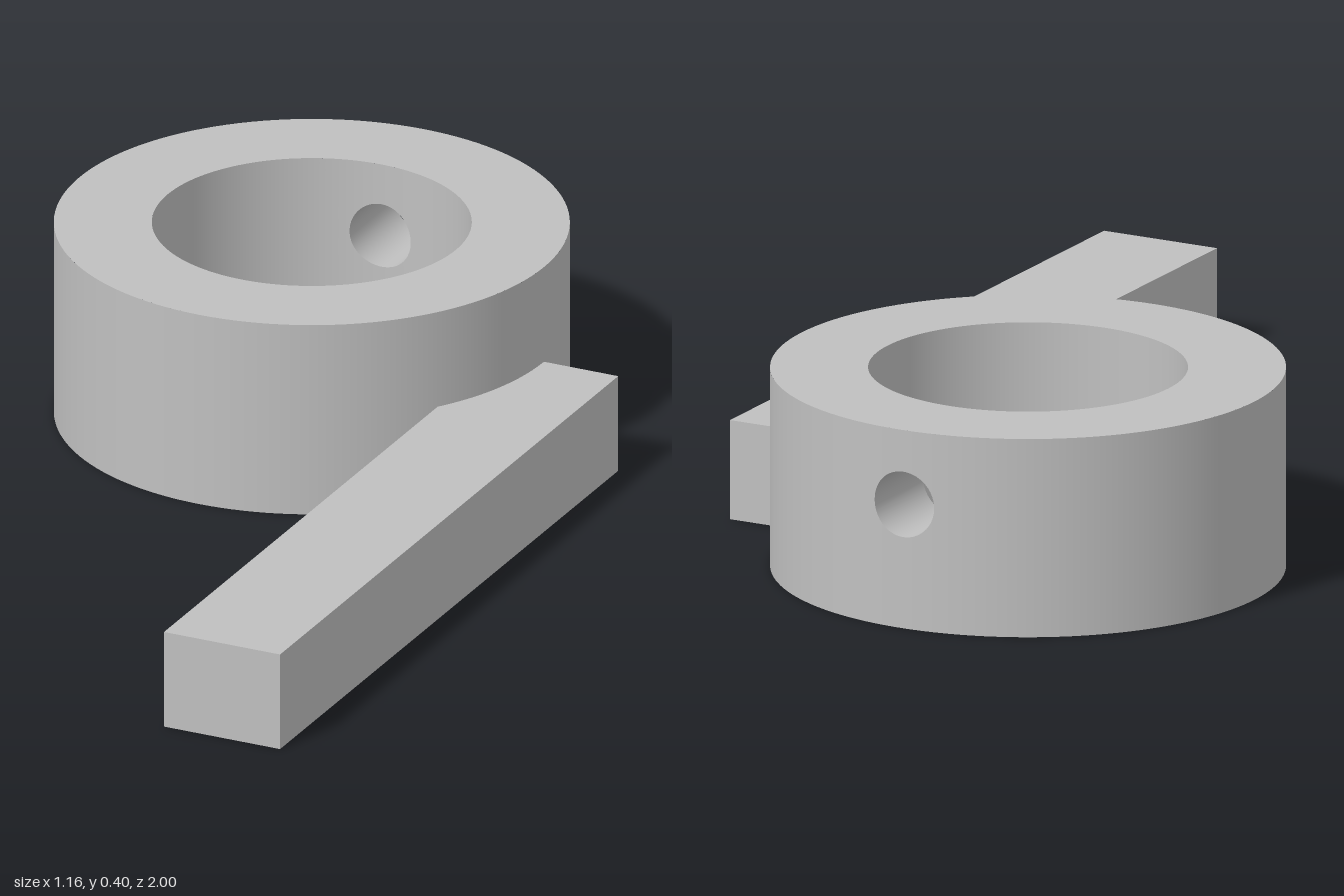
import * as THREE from 'three';
import { ParametricGeometry } from 'three/addons/geometries/ParametricGeometry.js';

const R = 0.5, BORE = 0.31, H = 0.4;             // ring
const HOLE_R = 0.066, HOLE_Y = 0.25, W = 0.14;   // cross hole and its half-width wall patch

export function createModel() {
  const grey = new THREE.MeshStandardMaterial({ color: 0xc0c0c0 });
  grey.name = 'plain grey';
  const model = new THREE.Group();
  model.name = 'ringWithArm';

  const add = (name, geometry, parent) => {
    const mesh = new THREE.Mesh(geometry, grey);
    mesh.name = name;
    parent.add(mesh);
    return mesh;
  };

  // Ring, centred on its own axis, with a cross hole through the back wall
  const ring = new THREE.Group();
  ring.name = 'ring';
  ring.position.set(-0.08, 0, -0.5);
  model.add(ring);

  const lathe = (points, gap = 0) => new THREE.LatheGeometry(
    points.map(([x, y]) => new THREE.Vector2(x, y)), 128, Math.PI + gap, 2 * Math.PI - 2 * gap);
  add('ringTop', lathe([[R, H], [BORE, H]]), ring);
  add('ringBottom', lathe([[BORE, 0], [R, 0]]), ring);
  add('outerWall', lathe([[R, 0], [R, H]], Math.asin(W / R)), ring);
  add('boreWall', lathe([[BORE, H], [BORE, 0]], Math.asin(W / BORE)), ring);

  // Border of the wall patch around the hole, relative to the hole centre
  const corners = [[W, -HOLE_Y], [W, H - HOLE_Y], [-W, H - HOLE_Y], [-W, -HOLE_Y]];
  const border = (u) => {
    const k = Math.min(Math.floor(u * 4), 3), f = u * 4 - k;
    const a = corners[k], b = corners[(k + 1) % 4];
    return [a[0] + (b[0] - a[0]) * f, a[1] + (b[1] - a[1]) * f];
  };
  const rim = (u) => {
    const [x, y] = border(u), d = Math.hypot(x, y);
    return [x / d * HOLE_R, y / d * HOLE_R];
  };
  const wallZ = (x, radius) => -Math.sqrt(radius * radius - x * x);

  // Curved wall patch from the hole's rim out to the border
  const patch = (radius, inward) => new ParametricGeometry((u, v, p) => {
    const t = inward ? 1 - u : u;
    const [ax, ay] = rim(t), [bx, by] = border(t);
    const x = ax + (bx - ax) * v;
    p.set(x, HOLE_Y + ay + (by - ay) * v, wallZ(x, radius));
  }, 64, 6);
  add('outerHolePatch', patch(R, false), ring);
  add('boreHolePatch', patch(BORE, true), ring);

  // Inside of the cross hole
  add('crossHole', new ParametricGeometry((u, v, p) => {
    const [x, y] = rim(u), z0 = wallZ(x, BORE), z1 = wallZ(x, R);
    p.set(x, HOLE_Y + y, z0 + (z1 - z0) * v);
  }, 64, 2), ring);

  // Straight arm running forward from the side of the ring
  add('arm', new THREE.BoxGeometry(0.25, 0.2, 1.5), model).position.set(0.455, 0.1, 0.25);

  return model;
}
